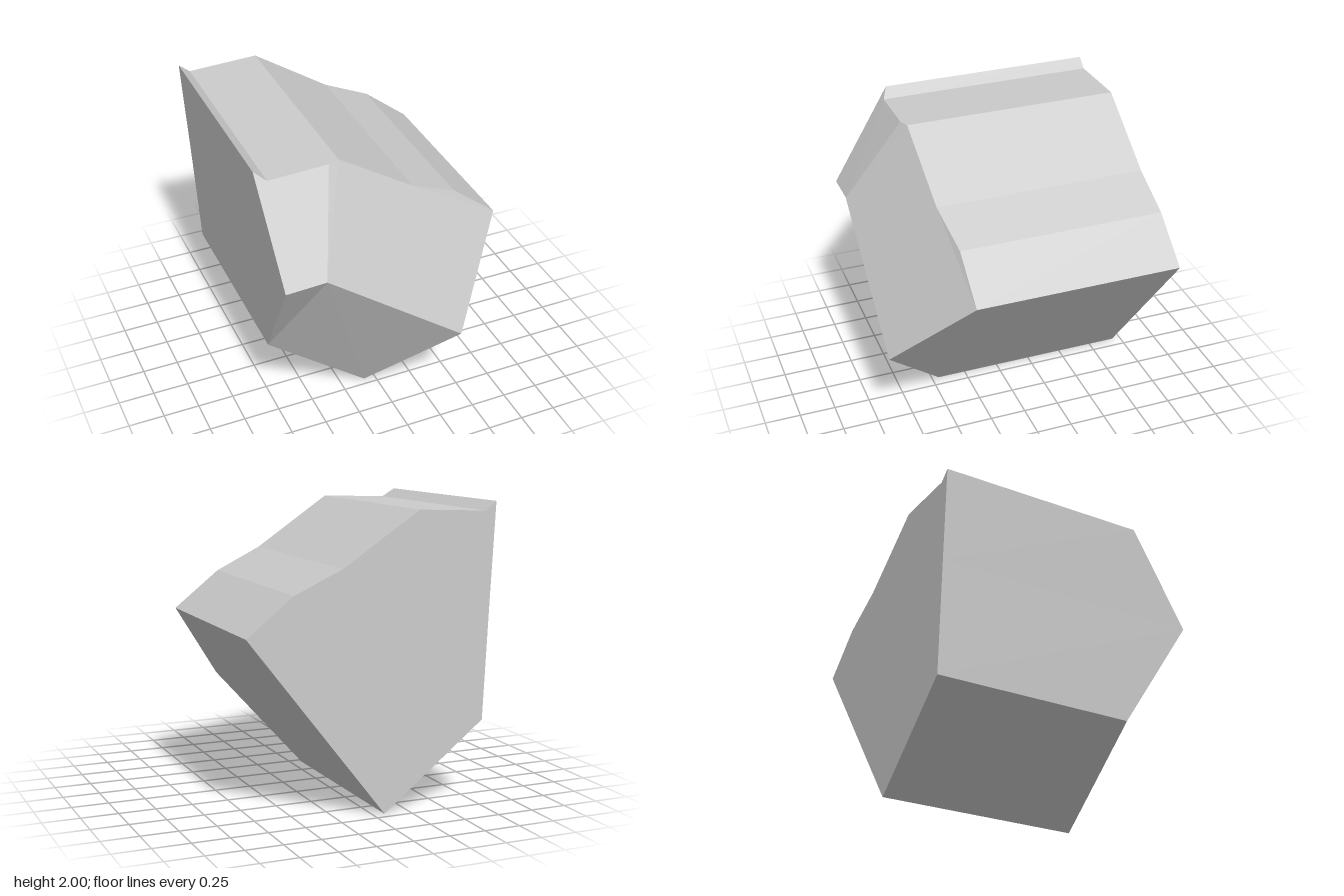
import * as THREE from 'three';

const BACK = -0.94;

// Front rim of the block, counter-clockwise seen from the front: x, y, z
const rim = [
  [-0.08, 0, 0.45], [0.41, 0.627, 0.94], [0.865, 1.21, 0.475],
  [0.55, 1.46, 0.475], [0.22, 1.61, 0.52], [-0.31, 1.96, 0.545],
  [-0.385, 1.957, 0.57], [-0.79, 1.94, 0.57], [-0.865, 2, 0.53],
  [-0.83, 1.342, 0.94], [-0.792, 0.56, 0.455],
].map((p) => new THREE.Vector3(...p));

// Point where the front ridge bends
const bend = new THREE.Vector3(-0.555, 1.355, 0.94);

function meshFrom(name, points) {
  const geometry = new THREE.BufferGeometry().setFromPoints(points);
  geometry.computeVertexNormals();
  const mesh = new THREE.Mesh(geometry, new THREE.MeshStandardMaterial({ color: 0xcccccc, flatShading: true }));
  mesh.name = name;
  return mesh;
}

// Triangulates a counter-clockwise outline in the xy plane
function fill(points, flip = false) {
  const flat = points.map((p) => new THREE.Vector2(p.x, p.y));
  return THREE.ShapeUtils.triangulateShape(flat, [])
    .flatMap(([a, b, c]) => (flip ? [a, c, b] : [a, b, c]).map((i) => points[i]));
}

export function createModel() {
  const group = new THREE.Group();
  group.name = 'facetedBlock';
  const backRim = rim.map((p) => new THREE.Vector3(p.x, p.y, BACK));

  // Sides run straight from the front rim to the flat back
  const sides = rim.flatMap((a, i) => {
    const j = (i + 1) % rim.length;
    return [a, backRim[i], backRim[j], a, backRim[j], rim[j]];
  });
  group.add(meshFrom('sideWalls', sides));
  group.add(meshFrom('backFace', fill(backRim, true)));

  // Four sloping facets meet along the front ridge
  const facets = {
    upperRightFacet: [1, 2, 3, 4, 5, 6],
    upperLeftFacet: [6, 7, 8, 9],
    lowerLeftFacet: [9, 10],
    lowerRightFacet: [10, 0, 1],
  };
  for (const [name, ids] of Object.entries(facets)) {
    group.add(meshFrom(name, fill([bend, ...ids.map((i) => rim[i])])));
  }
  return group;
}
